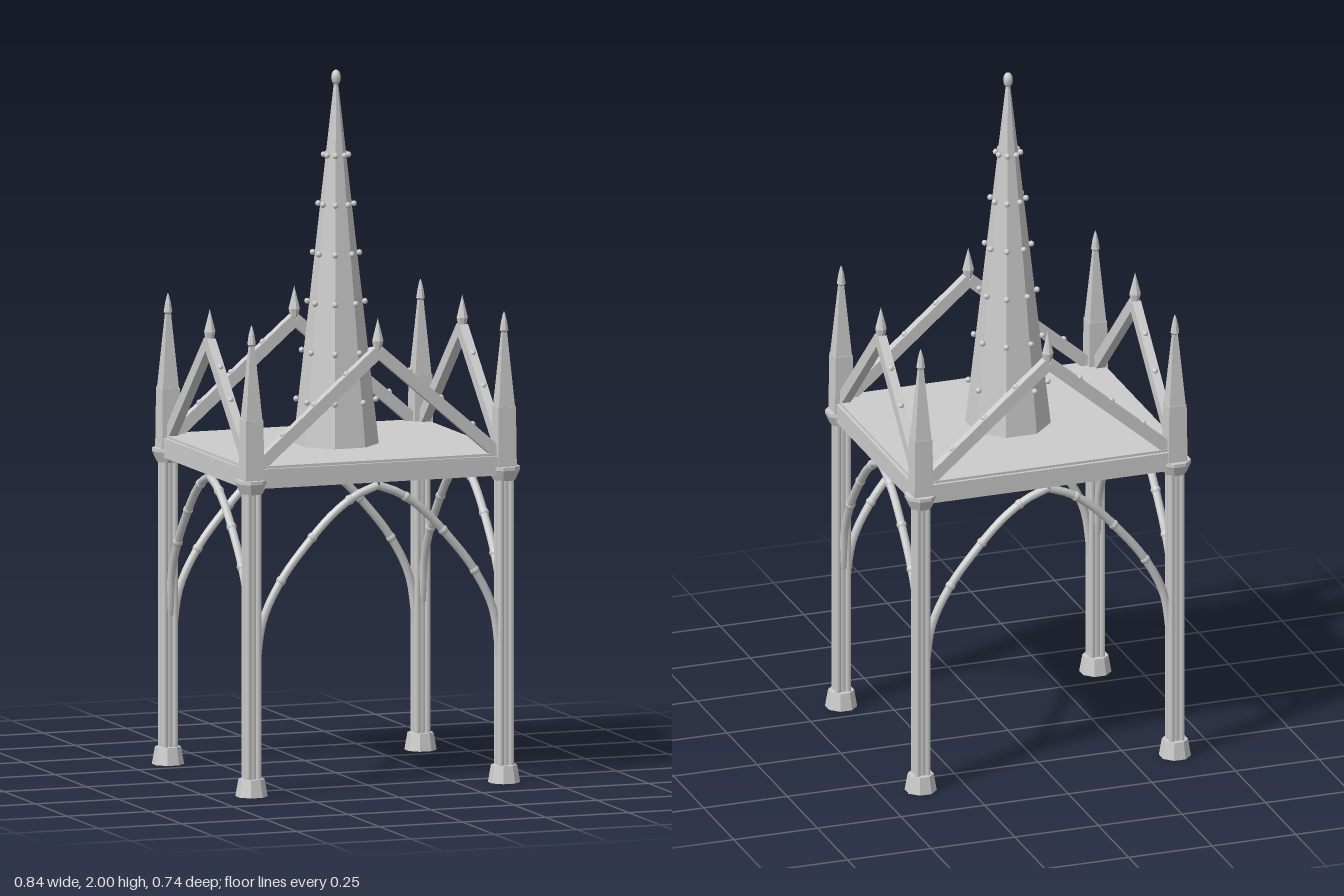
import * as THREE from 'three';

const flat = new THREE.MeshStandardMaterial({ color: 0xcccccc, flatShading: true });
const smooth = new THREE.MeshStandardMaterial({ color: 0xcccccc });

const HX = 0.38, HZ = 0.33; // column centres

function add(parent, name, geometry, material, x = 0, y = 0, z = 0) {
  const mesh = new THREE.Mesh(geometry, material);
  mesh.name = name;
  mesh.position.set(x, y, z);
  parent.add(mesh);
  return mesh;
}

// Regular prism or frustum with flat sides facing the axes; sizes are half-widths across flats
function frustum(parent, name, bottom, top, y0, y1, sides, x = 0, z = 0) {
  const k = 1 / Math.cos(Math.PI / sides);
  const g = new THREE.CylinderGeometry(top * k, bottom * k, y1 - y0, sides);
  g.rotateY(Math.PI / sides);
  return add(parent, name, g, flat, x, (y0 + y1) / 2, z);
}

function box(parent, name, w, h, d, x, y, z) {
  return add(parent, name, new THREE.BoxGeometry(w, h, d), flat, x, y, z);
}

function bead(parent, name, r, x, y, z, stretch = 1) {
  const mesh = add(parent, name, new THREE.SphereGeometry(r, 10, 8), smooth, x, y, z);
  mesh.scale.y = stretch;
  return mesh;
}

// Turned finial from [radius, height] pairs
function finial(parent, name, profile, x, y, z) {
  const points = profile.map(([r, h]) => new THREE.Vector2(r, h));
  return add(parent, name, new THREE.LatheGeometry(points, 8), flat, x, y, z);
}

// Clustered column with foot, capital and pinnacle
function makeCorner(x, z) {
  const g = new THREE.Group();
  g.name = 'cornerColumn';
  frustum(g, 'columnFoot', 0.042, 0.034, 0, 0.05, 8);
  add(g, 'columnCore', new THREE.CylinderGeometry(0.02, 0.02, 0.83, 12), smooth, 0, 0.455, 0);
  for (const sx of [-1, 1]) for (const sz of [-1, 1]) {
    add(g, 'columnShaft', new THREE.CylinderGeometry(0.009, 0.009, 0.83, 8), smooth, sx * 0.015, 0.455, sz * 0.015);
  }
  frustum(g, 'capital', 0.029, 0.042, 0.86, 0.89, 8);
  frustum(g, 'capitalRim', 0.042, 0.042, 0.89, 0.9, 8);
  frustum(g, 'pinnacleBase', 0.028, 0.026, 0.9, 1.07, 4);
  frustum(g, 'pinnacleSpire', 0.024, 0.006, 1.07, 1.29, 4);
  finial(g, 'pinnacleFinial', [[0, 0], [0.013, 0.015], [0.009, 0.04], [0.004, 0.06], [0, 0.07]], 0, 1.27, 0);
  g.position.set(x, 0, z);
  return g;
}

// Pointed arch, beam and open gable of one side, drawn in the xy plane
function makeSide(half) {
  const g = new THREE.Group();
  g.name = 'archedSide';
  box(g, 'beam', half * 2, 0.055, 0.048, 0, 0.9035, 0);

  const archProfile = [[0.965, 1.33], [0.908, 0.96], [0.763, 0.67], [0.58, 0.434], [0.355, 0.197], [0.17, 0.066], [0, 0]];
  const foot = new THREE.Vector2(half, 0.92), apex = new THREE.Vector2(0, 1.245);
  const run = apex.clone().sub(foot);
  for (const s of [-1, 1]) {
    const curve = new THREE.CatmullRomCurve3(
      archProfile.map(([u, v]) => new THREE.Vector3(s * u * half, 0.864 - v * half, 0)));
    add(g, 'archRib', new THREE.TubeGeometry(curve, 24, 0.012, 8), smooth);
    for (const t of [0.4, 0.63, 0.86]) {
      const p = curve.getPointAt(t);
      bead(g, 'archCrocket', 0.0145, p.x, p.y, p.z);
    }
    const rafter = box(g, 'gableRafter', run.length(), 0.034, 0.026, s * half / 2, (foot.y + apex.y) / 2, 0);
    rafter.rotation.z = -s * Math.atan2(run.y, half);
    for (const t of [0.25, 0.5, 0.75]) {
      bead(g, 'gableCrocket', 0.009, s * half * (1 - t), foot.y + run.y * t + 0.021, 0);
    }
  }
  finial(g, 'gableFinial', [[0, 0], [0.012, 0.01], [0.017, 0.035], [0.008, 0.07], [0, 0.1]], 0, 1.24, 0);
  return g;
}

// Octagonal spire with crockets along its eight edges
function makeSpire() {
  const g = new THREE.Group();
  g.name = 'spire';
  const y0 = 0.9, y1 = 1.97, r0 = 0.115, r1 = 0.005;
  frustum(g, 'spireBody', r0, r1, y0, y1, 8);
  for (let row = 0; row < 6; row++) {
    const y = 1.064 + row * 0.139;
    const r = THREE.MathUtils.lerp(r0, r1, (y - y0) / (y1 - y0)) / Math.cos(Math.PI / 8) + 0.006;
    for (let i = 0; i < 8; i++) {
      const a = (i + 0.5) * Math.PI / 4;
      bead(g, 'spireCrocket', 0.0085, r * Math.cos(a), y, r * Math.sin(a));
    }
  }
  bead(g, 'spireFinial', 0.014, 0, 1.978, 0, 1.6);
  return g;
}

export function createModel() {
  const model = new THREE.Group();
  model.name = 'gothicCanopy';

  for (const sx of [-1, 1]) for (const sz of [-1, 1]) model.add(makeCorner(sx * HX, sz * HZ));

  for (const s of [-1, 1]) {
    const long = makeSide(HX);
    long.position.z = s * HZ;
    const short = makeSide(HZ);
    short.rotation.y = Math.PI / 2;
    short.position.x = s * HX;
    model.add(long, short);
  }

  box(model, 'roofSlab', 0.79, 0.018, 0.69, 0, 0.929, 0);
  model.add(makeSpire());
  return model;
}
